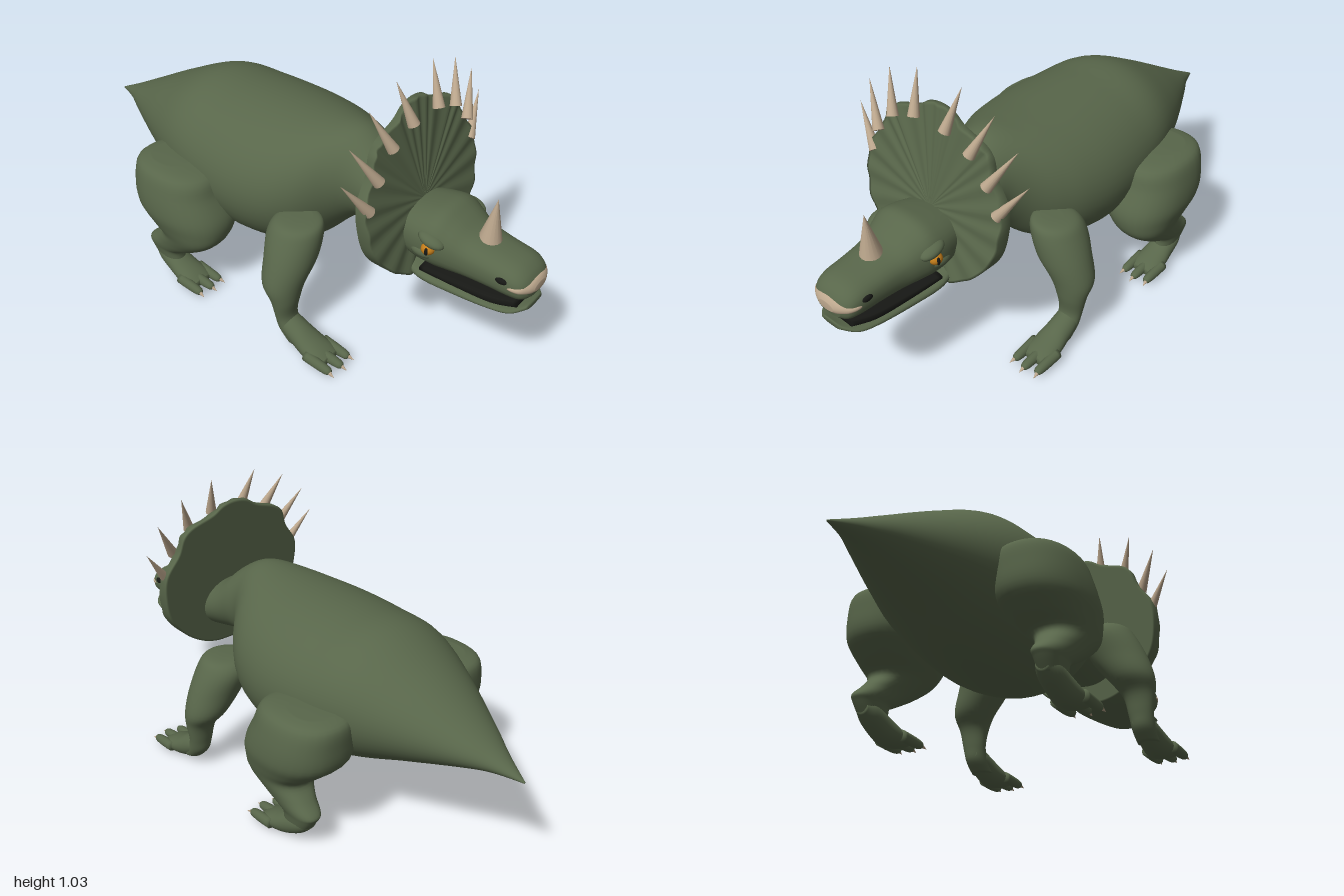
import * as THREE from 'three';

const mat = (name, color) => Object.assign(new THREE.MeshStandardMaterial({ color }), { name });

// Skin a list of equal-length closed rings (arrays of Vector3), capping both ends
function skin(rings) {
  const n = rings[0].length, pos = [], idx = [];
  const put = (p) => pos.push(p.x, p.y, p.z);
  rings.forEach((r) => r.forEach(put));
  for (let i = 0; i < rings.length - 1; i++) {
    for (let j = 0; j < n; j++) {
      const a = i * n + j, b = i * n + (j + 1) % n;
      idx.push(a, b, a + n, b, b + n, a + n);
    }
  }
  [0, rings.length - 1].forEach((k) => {
    const c = new THREE.Vector3();
    rings[k].forEach((p) => c.addScaledVector(p, 1 / n));
    const m = pos.length / 3;
    put(c);
    for (let j = 0; j < n; j++) {
      const a = k * n + j, b = k * n + (j + 1) % n;
      if (k === 0) idx.push(m, b, a); else idx.push(m, a, b);
    }
  });
  // Turn the faces outward whatever the ring direction
  let vol = 0;
  const v = (i) => new THREE.Vector3().fromArray(pos, idx[i] * 3);
  for (let i = 0; i < idx.length; i += 3) vol += v(i).dot(v(i + 1).cross(v(i + 2)));
  if (vol < 0) idx.reverse();
  const g = new THREE.BufferGeometry();
  g.setAttribute('position', new THREE.Float32BufferAttribute(pos, 3));
  g.setIndex(idx);
  g.computeVertexNormals();
  return g;
}

// Smooth loft through sections [t, a0, a1, z0, z1] along 'x' (a = y) or 'y' (a = x)
function loft(axis, secs, side = 1, power = 2, steps = 5, n = 32) {
  const rings = [], last = secs.length - 1;
  const at = (i) => secs[Math.min(Math.max(i, 0), last)];
  for (let k = 0; k <= last * steps; k++) {
    const i = Math.min(Math.floor(k / steps), last - 1), u = k / steps - i;
    const [t, a0, a1, z0, z1] = secs[0].map((_, c) => {
      const [p, q, r, s] = [-1, 0, 1, 2].map((d) => at(i + d)[c]);
      return q + 0.5 * u * (r - p + u * (2 * p - 5 * q + 4 * r - s + u * (3 * (q - r) + s - p)));
    });
    const ring = [];
    for (let j = 0; j < n; j++) {
      const th = j / n * Math.PI * 2;
      const f = (w) => Math.sign(w) * Math.abs(w) ** (2 / power);
      const a = (a0 + a1) / 2 + f(Math.sin(th)) * (a1 - a0) / 2;
      const z = side * ((z0 + z1) / 2 + f(Math.cos(th)) * (z1 - z0) / 2);
      ring.push(axis === 'x' ? new THREE.Vector3(t, a, z) : new THREE.Vector3(a, t, z));
    }
    rings.push(ring);
  }
  return skin(rings);
}
const sym = (rows) => rows.map(([x, y0, y1, w]) => [x, y0, y1, -w, w]);

export function createModel() {
  const group = new THREE.Group();
  const hide = mat('green hide', 0x58664a), horn = mat('tan horn', 0xbba68c);
  const dark = mat('black', 0x171815), amber = mat('amber', 0xc27c1a);
  const add = (name, geo, m) => {
    const mesh = new THREE.Mesh(geo, m);
    mesh.name = name;
    group.add(mesh);
    return mesh;
  };
  const cone = (name, from, to, r) => {
    const a = new THREE.Vector3(...from), d = new THREE.Vector3(...to).sub(a);
    const mesh = add(name, new THREE.ConeGeometry(r, d.length(), 16), horn);
    mesh.position.copy(a).addScaledVector(d, 0.5);
    mesh.quaternion.setFromUnitVectors(new THREE.Vector3(0, 1, 0), d.normalize());
  };
  const ball = (name, m, p, s) => {
    const mesh = add(name, new THREE.SphereGeometry(1, 20, 14), m);
    mesh.position.set(...p);
    mesh.scale.set(...s);
    return mesh;
  };

  // Trunk, tail and neck
  add('body', loft('x', sym([
    [-1, 0.428, 0.434, 0.003], [-0.9, 0.42, 0.485, 0.048], [-0.8, 0.395, 0.54, 0.105],
    [-0.6, 0.325, 0.65, 0.21], [-0.42, 0.255, 0.732, 0.285], [-0.25, 0.215, 0.74, 0.318],
    [-0.08, 0.198, 0.743, 0.325], [0.06, 0.215, 0.745, 0.3], [0.16, 0.265, 0.75, 0.25],
    [0.25, 0.36, 0.755, 0.175], [0.31, 0.41, 0.742, 0.14], [0.38, 0.425, 0.7, 0.133],
    [0.46, 0.415, 0.635, 0.135], [0.58, 0.39, 0.57, 0.13],
  ]), 1, 2, 6, 48), hide);

  // Skull, jaw, mouth line and beak
  add('skull', loft('x', sym([
    [0.53, 0.41, 0.585, 0.13], [0.6, 0.395, 0.602, 0.143], [0.66, 0.39, 0.61, 0.143],
    [0.71, 0.39, 0.586, 0.128], [0.77, 0.392, 0.553, 0.11], [0.85, 0.395, 0.537, 0.102],
    [0.93, 0.397, 0.524, 0.098], [0.97, 0.4, 0.502, 0.084], [0.99, 0.415, 0.475, 0.055],
  ]), 1, 2.4), hide);
  add('lowerJaw', loft('x', sym([
    [0.53, 0.355, 0.41, 0.1], [0.62, 0.336, 0.385, 0.128], [0.75, 0.33, 0.375, 0.117],
    [0.88, 0.34, 0.37, 0.105], [0.95, 0.349, 0.374, 0.088], [0.99, 0.364, 0.386, 0.045],
  ]), 1, 2.6), hide);
  add('mouth', loft('x', sym([
    [0.62, 0.375, 0.4, 0.122], [0.75, 0.368, 0.4, 0.113], [0.88, 0.365, 0.402, 0.1],
    [0.96, 0.37, 0.405, 0.07],
  ]), 1, 4), dark);
  add('beak', loft('x', sym([
    [0.915, 0.452, 0.468, 0.09], [0.94, 0.437, 0.482, 0.099], [0.97, 0.428, 0.486, 0.088],
    [0.99, 0.428, 0.48, 0.06], [1, 0.437, 0.467, 0.035],
  ])), horn);
  cone('noseHorn', [0.803, 0.53, 0], [0.815, 0.698, 0], 0.042);

  // Bony frill: a tilted plate with shallow radial flutes on its front
  const half = [[0.055, 0.93], [0.1, 0.902], [0.2, 0.868], [0.232, 0.84], [0.255, 0.775],
    [0.31, 0.69], [0.314, 0.6], [0.29, 0.5], [0.22, 0.41], [0.13, 0.35], [0.065, 0.331]];
  const edge = [[0, 0.94], ...half, [0, 0.329], ...half.map(([z, y]) => [-z, y]).reverse()]
    .map(([z, y]) => new THREE.Vector3(0, y, z));
  const rim = new THREE.CatmullRomCurve3(edge, true).getPoints(144).slice(0, 144);
  const frillRing = (s, front) => rim.map((p, i) => {
    const y = 0.58 + (p.y - 0.58) * s, flute = 0.004 * s * Math.cos(i / 144 * Math.PI * 48);
    const x = front ? 0.592 - 0.19 * (y - 0.34) + flute : 0.528 - 0.115 * (y - 0.34);
    return new THREE.Vector3(x, y, p.z * s);
  });
  add('frill', skin([
    ...[0.02, 0.5, 0.97, 1].map((s) => frillRing(s, false)),
    ...[1, 0.97, 0.75, 0.5, 0.02].map((s) => frillRing(s, true)),
  ]), hide);

  for (const s of [1, -1]) {
    // Frill spikes
    [[0.525, 0.89, 0.07, 0.468, 1.04, 0.1], [0.525, 0.848, 0.175, 0.468, 0.992, 0.237],
      [0.53, 0.765, 0.25, 0.475, 0.91, 0.34], [0.525, 0.668, 0.287, 0.485, 0.806, 0.39],
    ].forEach(([x, y, z, X, Y, Z]) => cone('frillSpike', [x, y, s * z], [X, Y, s * Z], 0.021));

    // Eyes, brows and nostrils
    ball('eye', amber, [0.658, 0.503, s * 0.138], [0.024, 0.021, 0.024]);
    ball('pupil', dark, [0.663, 0.503, s * 0.157], [0.007, 0.015, 0.006]);
    ball('brow', hide, [0.66, 0.533, s * 0.125], [0.05, 0.022, 0.032]).rotation.z = -0.25;
    ball('cheek', hide, [0.63, 0.475, s * 0.12], [0.05, 0.025, 0.03]);
    ball('nostril', dark, [0.908, 0.477, s * 0.094], [0.022, 0.012, 0.01]);

    // Front leg, from shoulder to ankle
    add('frontLeg', loft('y', [
      [0.472, 0.17, 0.24, 0.2, 0.28], [0.462, 0.12, 0.285, 0.17, 0.335],
      [0.42, 0.1, 0.3, 0.17, 0.368], [0.34, 0.118, 0.3, 0.2, 0.405],
      [0.26, 0.14, 0.287, 0.262, 0.428], [0.2, 0.185, 0.28, 0.3, 0.42],
      [0.13, 0.203, 0.272, 0.315, 0.408], [0.08, 0.215, 0.3, 0.318, 0.404],
      [0.04, 0.25, 0.33, 0.32, 0.4]], s), hide);

    // Hind leg, from thigh over the bent knee to the hock
    add('hindLeg', loft('y', [
      [0.52, -0.44, -0.28, 0.22, 0.38], [0.5, -0.495, -0.17, 0.18, 0.435],
      [0.43, -0.502, -0.135, 0.16, 0.46], [0.35, -0.49, -0.095, 0.16, 0.468],
      [0.29, -0.43, -0.092, 0.2, 0.455], [0.24, -0.37, -0.115, 0.25, 0.44],
      [0.19, -0.405, -0.18, 0.29, 0.425], [0.15, -0.448, -0.25, 0.31, 0.415],
      [0.125, -0.44, -0.29, 0.32, 0.408], [0.08, -0.41, -0.29, 0.325, 0.4]], s, 2.3), hide);

    // Feet with three clawed toes each
    for (const [label, dx] of [['front', 0], ['hind', -0.63]]) {
      add(label + 'Foot', loft('x', [
        [0.215 + dx, 0.085, 0.125, 0.335, 0.385], [0.25 + dx, 0.05, 0.135, 0.318, 0.403],
        [0.31 + dx, 0.016, 0.112, 0.312, 0.41], [0.36 + dx, 0.005, 0.085, 0.305, 0.417],
        [0.41 + dx, 0.012, 0.062, 0.305, 0.417], [0.44 + dx, 0.02, 0.045, 0.32, 0.402]], s), hide);
      for (const k of [-1, 0, 1]) {
        const z = 0.361 + k * 0.05, x = dx + (k ? 0 : 0.012);
        add(label + 'Toe', loft('x', [
          [0.37 + x, 0.02, 0.06, z - 0.02, z + 0.02], [0.43 + x, 0.014, 0.054, z - 0.018, z + 0.018],
          [0.47 + x, 0.016, 0.046, z - 0.015, z + 0.015],
          [0.482 + x, 0.024, 0.038, z - 0.007, z + 0.007]], s, 2, 4, 14), hide);
        cone(label + 'Claw', [0.462 + x, 0.034, s * z], [0.502 + x, 0.022, s * (z + k * 0.006)], 0.013);
      }
    }
  }
  return group;
}
